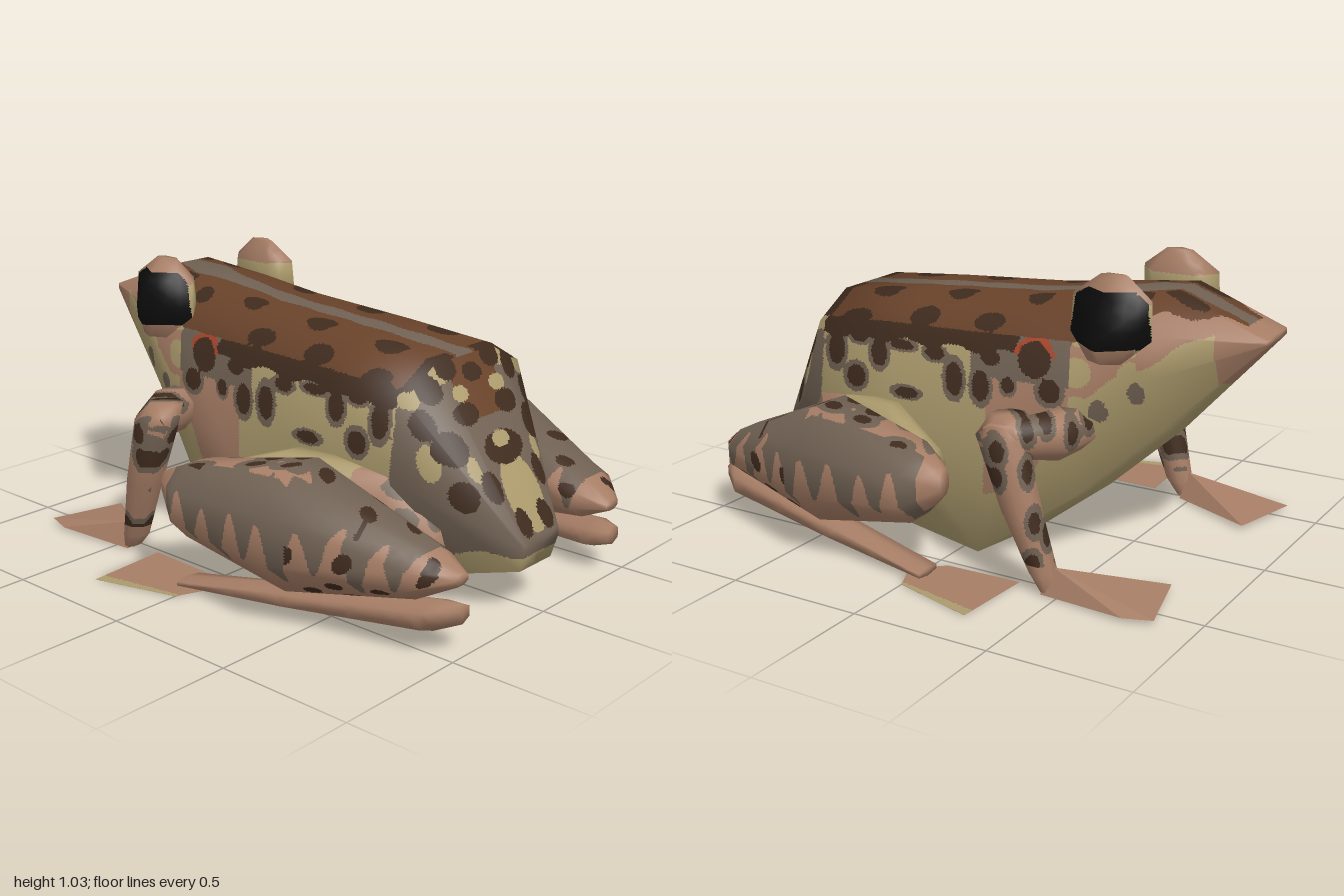
import * as THREE from 'three';
import { ConvexGeometry } from 'three/addons/geometries/ConvexGeometry.js';

const colours = {
  brown: 0x68422a, dark: 0x3f2b1e, grey: 0x6f6052, olive: 0xab9a6c,
  pink: 0xa67d65, black: 0x0c0c0c, red: 0xa8452b,
};
const keys = Object.keys(colours);
const materials = keys.map((name) => {
  const m = new THREE.MeshStandardMaterial({ color: colours[name] });
  m.name = name;
  return m;
});

// Distance to the nearest point of a jittered grid: small values make spots
const hash = (i, j) => { const s = Math.sin(i * 127.1 + j * 311.7) * 43758.5; return s - Math.floor(s); };
function cell(p, q, size) {
  const u = p / size, v = q / size;
  let best = 9;
  for (let i = Math.floor(u) - 1; i <= Math.floor(u) + 1; i++) {
    for (let j = Math.floor(v) - 1; j <= Math.floor(v) + 1; j++) {
      best = Math.min(best, Math.hypot(u - i - 0.2 - 0.6 * hash(i, j), v - j - 0.2 - 0.6 * hash(j + 7, i)));
    }
  }
  return best;
}
// Is (p, q) inside any ellipse [p, q, radiusP, radiusQ] of a list, grown by a factor?
const inSpots = (list, p, q, grow = 1) => list.some(([a, b, ra, rb]) => Math.hypot((p - a) / ra, (q - b) / rb) < grow);

// Skin over closed rings of points, with both ends capped
function loft(rings) {
  const n = rings[0].length, pos = rings.flat(2), idx = [], last = rings.length - 1;
  for (let i = 0; i < last; i++) {
    for (let j = 0; j < n; j++) {
      const k = (j + 1) % n, a = i * n + j, b = i * n + k, c = b + n, d = a + n;
      idx.push(a, b, c, a, c, d);
    }
  }
  for (const r of [0, last]) {
    const mid = pos.length / 3;
    for (let m = 0; m < 3; m++) pos.push(rings[r].reduce((s, p) => s + p[m], 0) / n);
    for (let j = 0; j < n; j++) {
      const a = r * n + j, b = r * n + (j + 1) % n;
      idx.push(mid, ...(r ? [a, b] : [b, a]));
    }
  }
  const g = new THREE.BufferGeometry();
  g.setAttribute('position', new THREE.Float32BufferAttribute(pos, 3));
  g.setIndex(idx);
  g.computeVertexNormals();
  return g;
}

// Limb of elliptical rings [x, y, z, radiusU, radiusV] lying in the plane of axes u and v
function limb(u, v, sections, sides = 8) {
  return loft(sections.map((s) => Array.from({ length: sides }, (_, j) => {
    const t = ((j + 0.5) / sides) * Math.PI * 2, p = s.slice(0, 3);
    p[u] += Math.cos(t) * s[3];
    p[v] += Math.sin(t) * s[4];
    return p;
  })));
}

// Colour faces by a rule, halving longest edges until each face has one colour or is fine enough
function paint(name, geo, fine, rule, side = 1) {
  const g = geo.index ? geo.toNonIndexed() : geo;
  const bins = keys.map(() => ({ p: [], n: [] }));
  const corner = (i) => {
    const p = new THREE.Vector3().fromBufferAttribute(g.attributes.position, i);
    return { p, n: new THREE.Vector3().fromBufferAttribute(g.attributes.normal, i), c: rule(p.x, p.y, p.z) };
  };
  const split = (a, b, c) => {
    const ab = a.p.distanceTo(b.p), bc = b.p.distanceTo(c.p), ca = c.p.distanceTo(a.p);
    if (bc > ab && bc >= ca) return split(b, c, a);
    if (ca > ab) return split(c, a, b);
    const m = a.p.clone().add(b.p).add(c.p).divideScalar(3), colour = rule(m.x, m.y, m.z);
    const mixed = [a, b, c].some((v) => v.c !== colour);
    if (ab > (mixed ? fine : 0.06)) {
      const p = a.p.clone().lerp(b.p, 0.5), h = { p, n: a.n.clone().lerp(b.n, 0.5), c: rule(p.x, p.y, p.z) };
      split(a, h, c);
      return split(h, b, c);
    }
    const bin = bins[keys.indexOf(colour)];
    for (const { p, n } of side > 0 ? [a, b, c] : [a, c, b]) {
      const u = n.clone().normalize();
      bin.p.push(p.x * side, p.y, p.z);
      bin.n.push(u.x * side, u.y, u.z);
    }
  };
  for (let t = 0; t < g.attributes.position.count; t += 3) split(corner(t), corner(t + 1), corner(t + 2));
  const out = new THREE.BufferGeometry(), used = [];
  let start = 0;
  bins.forEach((b, k) => {
    if (!b.p.length) return;
    out.addGroup(start, b.p.length / 3, used.length);
    used.push(materials[k]);
    start += b.p.length / 3;
  });
  out.setAttribute('position', new THREE.Float32BufferAttribute(bins.flatMap((b) => b.p), 3));
  out.setAttribute('normal', new THREE.Float32BufferAttribute(bins.flatMap((b) => b.n), 3));
  const mesh = new THREE.Mesh(out, used);
  mesh.name = name;
  return mesh;
}

// Half cross-sections of the body from belly to back, snout first
const bodyHalf = [
  [[0, .815, -1], [.06, .815, -1], [.09, .82, -1], [.09, .83, -1], [.09, .84, -1], [0, .84, -1]],
  [[0, .455, -.68], [.17, .5, -.68], [.25, .7, -.68], [.25, .84, -.68], [.1, .96, -.68], [0, .96, -.68]],
  [[0, .2, -.4], [.27, .24, -.4], [.33, .5, -.4], [.31, .78, -.4], [.13, .925, -.4], [0, .925, -.4]],
  [[0, 0, -.14], [.37, 0, -.07], [.34, .4, -.14], [.33, .76, -.14], [.14, .89, -.14], [0, .89, -.14]],
  [[0, .04, .3], [.33, .04, .3], [.35, .4, .3], [.325, .74, .3], [.15, .86, .3], [0, .86, .3]],
  [[0, .11, .72], [.21, .12, .72], [.36, .46, .69], [.32, .74, .64], [.16, .83, .64], [0, .83, .64]],
  [[0, .16, .96], [.09, .16, .96], [.1, .24, .98], [.1, .26, .98], [.09, .27, .98], [0, .27, .98]],
];
const backSpots = [[.09, -.72, .03, .08], [.12, -.56, .03, .05], [.17, -.42, .03, .04], [.13, -.19, .04, .05],
  [.13, .13, .045, .06], [.14, .45, .045, .065], [.25, .22, .04, .06], [.28, .5, .04, .06], [.25, -.05, .035, .06]];
const rumpDark = [[0, .77, .05, .03], [.12, .8, .05, .035], [.11, .66, .06, .035], [.22, .75, .05, .045], [.28, .65, .04, .05],
  [0, .54, .1, .05], [.22, .57, .06, .055], [.13, .44, .035, .05], [.06, .32, .035, .045], [.22, .42, .04, .05]];
const rumpOlive = [[0, .565, .045, .025], [0, .4, .09, .12], [.17, .79, .05, .03], [.1, .72, .04, .025],
  [.29, .53, .03, .06], [.17, .5, .025, .04], [.3, .74, .04, .04]];
const flankDark = [[.56, .65, .035, .06], [.37, .66, .035, .05], [.47, .56, .04, .04], [.46, .71, .04, .025], [.27, .7, .05, .018],
  [.13, .69, .04, .025], [.05, .61, .035, .06], [-.06, .6, .035, .055], [-.1, .71, .04, .03], [-.33, .62, .04, .04],
  [-.17, .62, .025, .03], [.25, .53, .05, .02]];

function bodyColour(x, y, z) {
  const a = Math.abs(x), wave = 0.012 * Math.sin(z * 31);
  const edge = 0.755 + 0.04 * (0.6 - z) + Math.max(0, -z - 0.4) * 0.1;
  // back with pale stripe and dark spots
  if (y > edge && z < 0.645) {
    const wide = z < -0.6 ? 0.21 - (-0.6 - z) * 0.45 : 0.4;
    if (z < -0.93 || a > wide + wave) return 'pink';
    if (a < 0.04 + wave * 0.4 + Math.max(0, 0.035 - Math.abs(z + 0.55) * 0.2)) return 'grey';
    return inSpots(backSpots, a, z) || (z > 0.61 && a > 0.06) ? 'dark' : 'brown';
  }
  // ear patch with a red rim
  const ear = Math.hypot(y - 0.72, z + 0.27);
  if (a > 0.25 && ear < 0.062) return 'dark';
  if (a > 0.25 && ear < 0.08 && y > 0.735) return 'red';
  // throat, belly and snout
  const low = -0.45 - z;
  if (z > -0.84 + wave && y < Math.max(0.22, 0.62 + Math.min(low * 0.6, low * 1.5)) + wave) {
    return a > 0.15 && inSpots([[-.5, .57, .03, .04], [-.62, .64, .025, .04], [-.4, .46, .03, .04]], z, y) ? 'grey' : 'olive';
  }
  if (z < -0.4) return z > -0.62 && cell(z, y, 0.13) < 0.4 ? 'olive' : 'pink';
  // mottled rump
  if (z > 0.62) {
    if (y > 0.27 && inSpots(rumpOlive.slice(0, 1), a, y)) return 'olive';
    if (inSpots(rumpDark, a, y)) return 'dark';
    if (inSpots(rumpOlive, a, y)) return 'olive';
    return y > 0.64 && y < 0.82 && a < 0.12 ? 'brown' : 'grey';
  }
  // mottled flank under a dark band
  if (y > edge - 0.055 + wave && z > -0.2) return 'dark';
  if (inSpots(flankDark, z, y)) return 'dark';
  if (inSpots(flankDark, z, y, 1.45) || (z < -0.02 && y > 0.64)) return 'grey';
  return z < -0.08 ? 'pink' : 'olive';
}

function hindColour(x, y, z) {
  const c = cell(z, x + y, 0.15);
  if (c < 0.22 && (z > 0.5 || y > 0.46)) return 'dark';
  if (z < -0.05 || z > 0.93 || y < 0.17) return 'pink';
  if (y > 0.43 && z < 0.5 && x < 0.66) return c < 0.45 ? 'grey' : 'pink';
  return y > 0.29 + 0.085 * Math.sin(z * 50) + 0.03 * Math.sin(z * 23) ? 'grey' : 'pink';
}
function armColour(x, y, z) {
  const c = cell(x + z, y * 0.8, 0.12);
  return y < 0.1 ? 'pink' : c < 0.25 ? 'dark' : c < 0.42 ? 'grey' : 'pink';
}
const thighColour = (x, y, z) => (z > 0.55 && y > 0.3 && cell(x, y, 0.1) < 0.35 ? 'grey' : y > 0.34 && z < 0.5 ? 'olive' : 'pink');
const footColour = (x, y, z) => (x > 0.73 + (-z - 0.03) * 0.2 ? 'olive' : 'pink');
const eyeColour = (x, y) => {
  if (x > 0.275 && y > 0.8 && y < 0.985) return 'black';
  return y < 0.95 && x < 0.3 ? 'olive' : 'pink';
};
const hull = (pts) => new ConvexGeometry(pts.map((p) => new THREE.Vector3(...p)));

export function createModel() {
  const frog = new THREE.Group();
  frog.name = 'frog';
  const rings = bodyHalf.map((h) => [...h, ...h.slice(1, -1).reverse().map(([x, y, z]) => [-x, y, z])]);
  frog.add(paint('body', loft(rings), 0.014, bodyColour));

  // folded hind leg, thigh, shin and flat webbed foot
  const hindLeg = limb(0, 1, [[.65, .36, -.12, .03, .05], [.625, .33, 0, .135, .14], [.555, .32, .42, .218, .225],
    [.475, .26, .87, .13, .085], [.44, .25, .98, .04, .02]]);
  const thigh = limb(0, 1, [[.55, .33, -.02, .06, .1], [.43, .33, .25, .12, .19], [.31, .3, .62, .11, .19],
    [.26, .22, .76, .065, .09]]);
  const shin = limb(0, 1, [[.64, .02, -.04, .06, .015], [.57, .07, .4, .07, .045], [.47, .12, .9, .085, .055],
    [.44, .14, .99, .04, .035]], 6);
  const hindFoot = hull([0.001, 0.002].flatMap((y) => [[.62, y, .05], [.74, y, 0], [.83, y, -.31],
    [.52, y, -.33], [.53, y, -.05]]));

  // bent front leg with spread foot
  const upperArm = limb(1, 2, [[.26, .5, -.41, .08, .08], [.42, .5, -.39, .085, .085], [.58, .51, -.28, .06, .08]]);
  const foreArm = limb(0, 2, [[.5, .582, -.28, .06, .065], [.55, .52, -.28, .075, .09], [.55, .28, -.355, .065, .072],
    [.53, .06, -.43, .05, .05], [.53, .005, -.45, .04, .02]]);
  const frontFoot = hull([[.53, .09, -.47], [.57, .002, -.44], [.47, .002, -.46], [.61, .012, -.76],
    [.58, .015, -.86], [.3, .015, -.79]]);

  // bulging angular eye, leaning outward, dark on its two outer sides
  const eyePlan = [[0, 1], [1, 0], [0, -1], [-0.75, -0.55], [-0.75, 0.55]];
  const eyeLevels = [[.32, .75, .03, .06], [.275, .83, .125, .15], [.265, .96, .095, .145], [.25, 1.03, .025, .05]];
  const eye = loft(eyeLevels.map(([x, y, rx, rz]) => eyePlan.map(([u, w]) => [x + u * rx, y, -.53 + w * rz])));

  for (const [word, side] of [['left', 1], ['right', -1]]) {
    const add = (part, geo, rule) => frog.add(paint(word + part, geo, 0.013, rule, side));
    add('HindLeg', hindLeg, hindColour);
    add('Thigh', thigh, thighColour);
    add('Shin', shin, () => 'pink');
    add('HindFoot', hindFoot, footColour);
    add('UpperArm', upperArm, armColour);
    add('ForeArm', foreArm, armColour);
    add('FrontFoot', frontFoot, () => 'pink');
    add('Eye', eye, eyeColour);
  }
  return frog;
}
